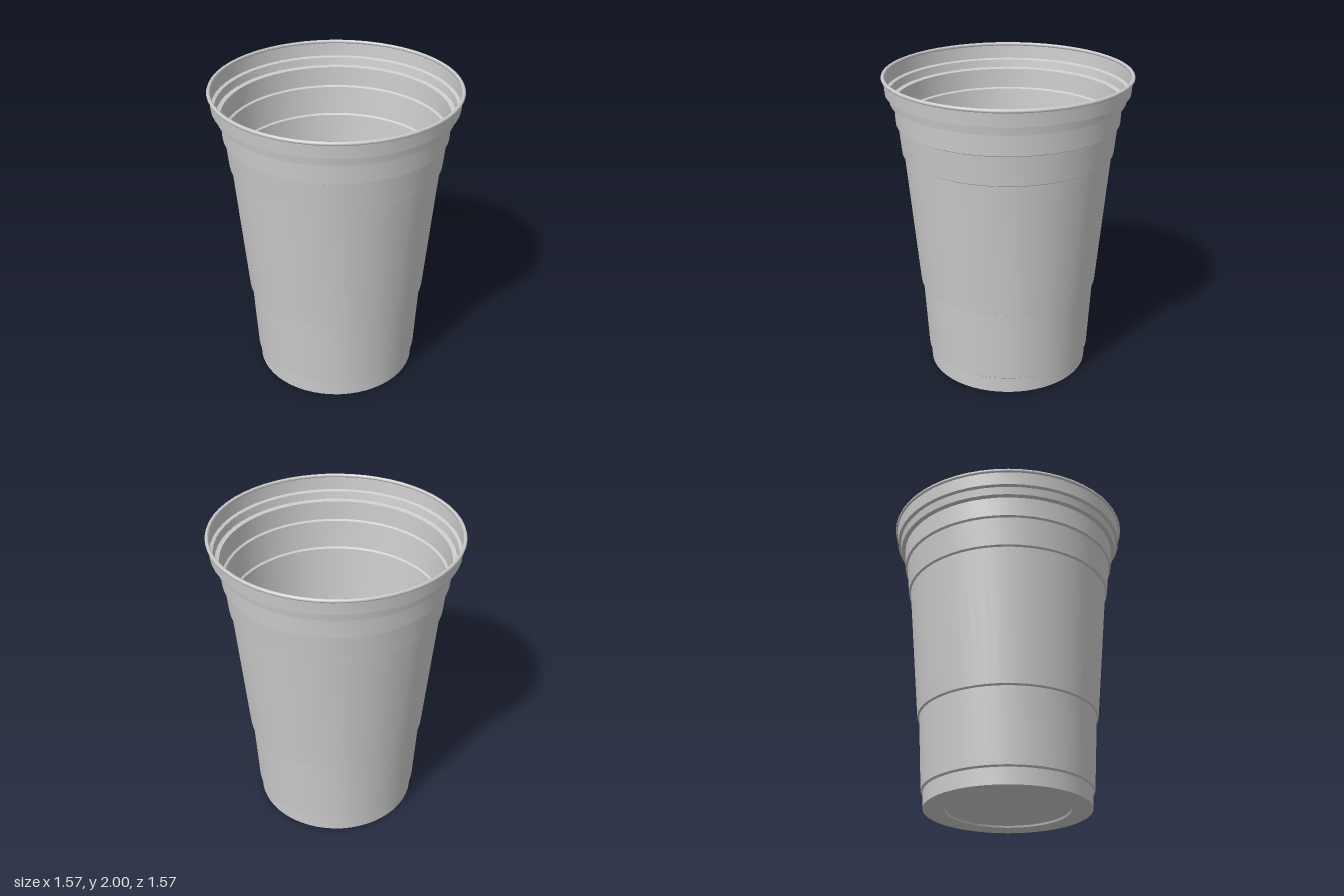
import * as THREE from 'three';
import { toCreasedNormals } from 'three/addons/utils/BufferGeometryUtils.js';

const SEGMENTS = 56;

export function createModel() {
  const group = new THREE.Group();
  group.name = 'cup';
  const material = new THREE.MeshStandardMaterial({ color: 0xcccccc, side: THREE.DoubleSide });

  const addLathe = (name, profile) => {
    const points = profile.map(([r, y]) => new THREE.Vector2(r, y));
    const geometry = toCreasedNormals(new THREE.LatheGeometry(points, SEGMENTS), 0.4);
    const mesh = new THREE.Mesh(geometry, material);
    mesh.name = name;
    group.add(mesh);
  };

  // Base with a shallow raised centre
  addLathe('base', [[0, 0.012], [0.388, 0.012], [0.392, 0], [0.528, 0]]);

  // Thin tapered wall, widening at each stacking step
  addLathe('wall', [
    [0.528, 0], [0.53, 0.105],
    [0.543, 0.115], [0.57, 0.597],
    [0.583, 0.605], [0.661, 1.497],
    [0.674, 1.505], [0.692, 1.692],
    [0.706, 1.7], [0.712, 1.828],
    [0.738, 1.835], [0.746, 1.885],
    [0.766, 1.892], [0.773, 1.98],
  ]);

  // Rolled lip
  const lip = new THREE.Mesh(new THREE.TorusGeometry(0.774, 0.012, 8, SEGMENTS), material);
  lip.name = 'rolledLip';
  lip.rotation.x = Math.PI / 2;
  lip.position.y = 1.988;
  group.add(lip);

  return group;
}
